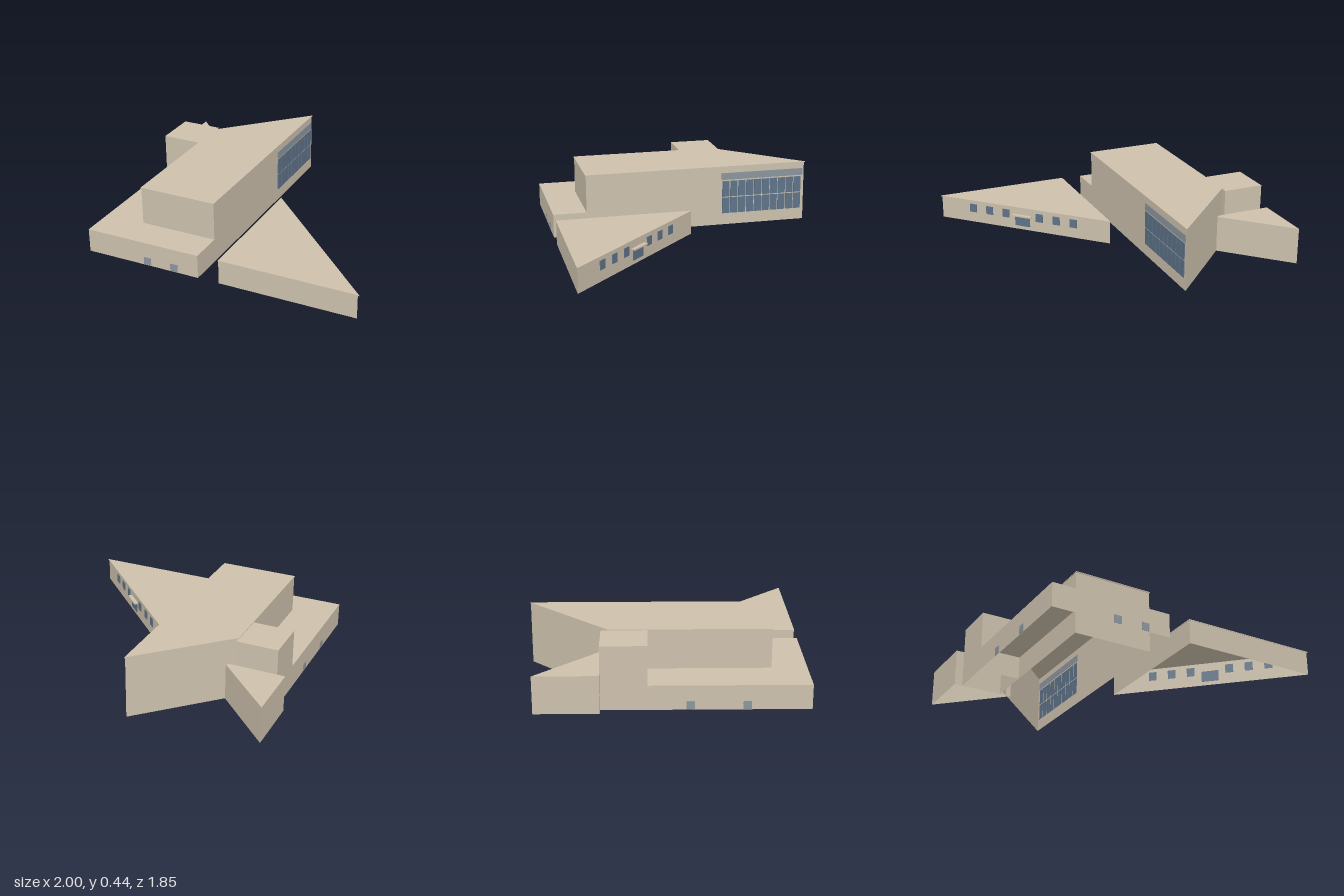
import * as THREE from 'three';

const wallMat = new THREE.MeshStandardMaterial({ name: 'sandWall', color: 0xcdc1ad, side: THREE.DoubleSide });
const glassMat = new THREE.MeshStandardMaterial({ name: 'blueGlass', color: 0x5f7388 });
const panelMat = new THREE.MeshStandardMaterial({ name: 'greyPanel', color: 0x8c959e });

// Open-bottomed building volume: one wall per footprint edge plus a thin roof slab
function volume(name, points, height, { skip = [], roof = points, slab = 0.006 } = {}) {
  const group = new THREE.Group();
  group.name = name;
  const wallHeight = height - slab / 2;
  points.forEach(([x0, z0], i) => {
    if (skip.includes(i)) return;
    const [x1, z1] = points[(i + 1) % points.length];
    const wall = new THREE.Mesh(new THREE.PlaneGeometry(Math.hypot(x1 - x0, z1 - z0), wallHeight), wallMat);
    wall.name = name + 'Wall';
    wall.position.set((x0 + x1) / 2, wallHeight / 2, (z0 + z1) / 2);
    wall.rotation.y = Math.atan2(z0 - z1, x1 - x0);
    group.add(wall);
  });
  const shape = new THREE.Shape(roof.map(([x, z]) => new THREE.Vector2(x, -z)));
  const geo = new THREE.ExtrudeGeometry(shape, { depth: slab, bevelEnabled: false });
  geo.rotateX(-Math.PI / 2).translate(0, height - slab, 0);
  const top = new THREE.Mesh(geo, wallMat);
  top.name = name + 'Roof';
  group.add(top);
  return group;
}

// Group whose local z points out of a wall
function facade(name, x, z, angle) {
  const group = new THREE.Group();
  group.name = name;
  group.position.set(x, 0, z);
  group.rotation.y = angle;
  return group;
}

// Thin plate on a facade, u along the wall and y0..y1 in height
function plate(parent, name, mat, u, width, y0, y1, depth = 0.006) {
  const mesh = new THREE.Mesh(new THREE.BoxGeometry(width, y1 - y0, depth), mat);
  mesh.name = name;
  mesh.position.set(u, (y0 + y1) / 2, depth / 2 - 0.001);
  parent.add(mesh);
}

export function createModel() {
  const model = new THREE.Group();
  model.name = 'angularBuilding';

  // Footprints run counter-clockwise seen from above
  model.add(
    volume('mainHall', [[-0.66, 0.685], [-0.115, 0.685], [-0.115, -0.92], [-0.66, -0.375]], 0.435,
      { roof: [[-0.662, 0.69], [-0.111, 0.69], [-0.111, -0.926], [-0.662, -0.375]] }),
    volume('lowWing', [[-0.945, 0.92], [-0.115, 0.92], [-0.115, 0.685], [-0.66, 0.685], [-0.66, -0.12], [-0.945, -0.12]], 0.165,
      { skip: [2, 3, 4] }),
    volume('backBlock', [[-0.945, -0.12], [-0.66, -0.12], [-0.66, -0.42], [-0.945, -0.42]], 0.43),
    volume('backWedge', [[-1, -0.42], [-0.58, -0.42], [-1, -0.84]], 0.255),
    volume('entranceWedge', [[0.037, 0.92], [0.99, 0.92], [0.037, -0.033]], 0.17,
      { roof: [[0.035, 0.922], [1, 0.922], [0.035, -0.041]] }),
  );

  // Large window wall of the hall: two rows of ten panes under a grey band
  const hallSide = facade('hallWindows', -0.115, -0.6, Math.PI / 2);
  for (let i = 0; i < 10; i++) {
    for (const [y0, y1] of [[0.085, 0.202], [0.209, 0.325]]) {
      plate(hallSide, 'windowPane', glassMat, -0.27 + i * 0.06, 0.054, y0, y1);
    }
  }
  plate(hallSide, 'windowBand', panelMat, 0.003, 0.612, 0.335, 0.385);
  model.add(hallSide);

  // Slanted entrance facade with windows, door and canopy
  const entrance = facade('entranceFacade', 0.5205, 0.4505, Math.PI * 0.75);
  for (const side of [-1, 1]) {
    for (const d of [0.095, 0.19, 0.285]) {
      plate(entrance, 'smallWindow', glassMat, side * d * Math.SQRT2, 0.055, 0.078, 0.14);
    }
  }
  plate(entrance, 'entranceDoor', glassMat, 0, 0.118, 0.028, 0.105);
  plate(entrance, 'doorCanopy', wallMat, 0, 0.152, 0.104, 0.114, 0.03);
  model.add(entrance);

  // Low wing doors on the front and outer side
  const front = facade('frontDoors', -0.393, 0.92, 0);
  for (const u of [-0.1, 0.1]) plate(front, 'door', panelMat, u, 0.053, 0.004, 0.058, 0.004);
  const side = facade('sideDoors', -0.945, 0.33, -Math.PI / 2);
  for (const u of [-0.18, 0.18]) plate(side, 'door', panelMat, u, 0.053, 0.004, 0.058, 0.004);
  model.add(front, side);

  return model;
}
